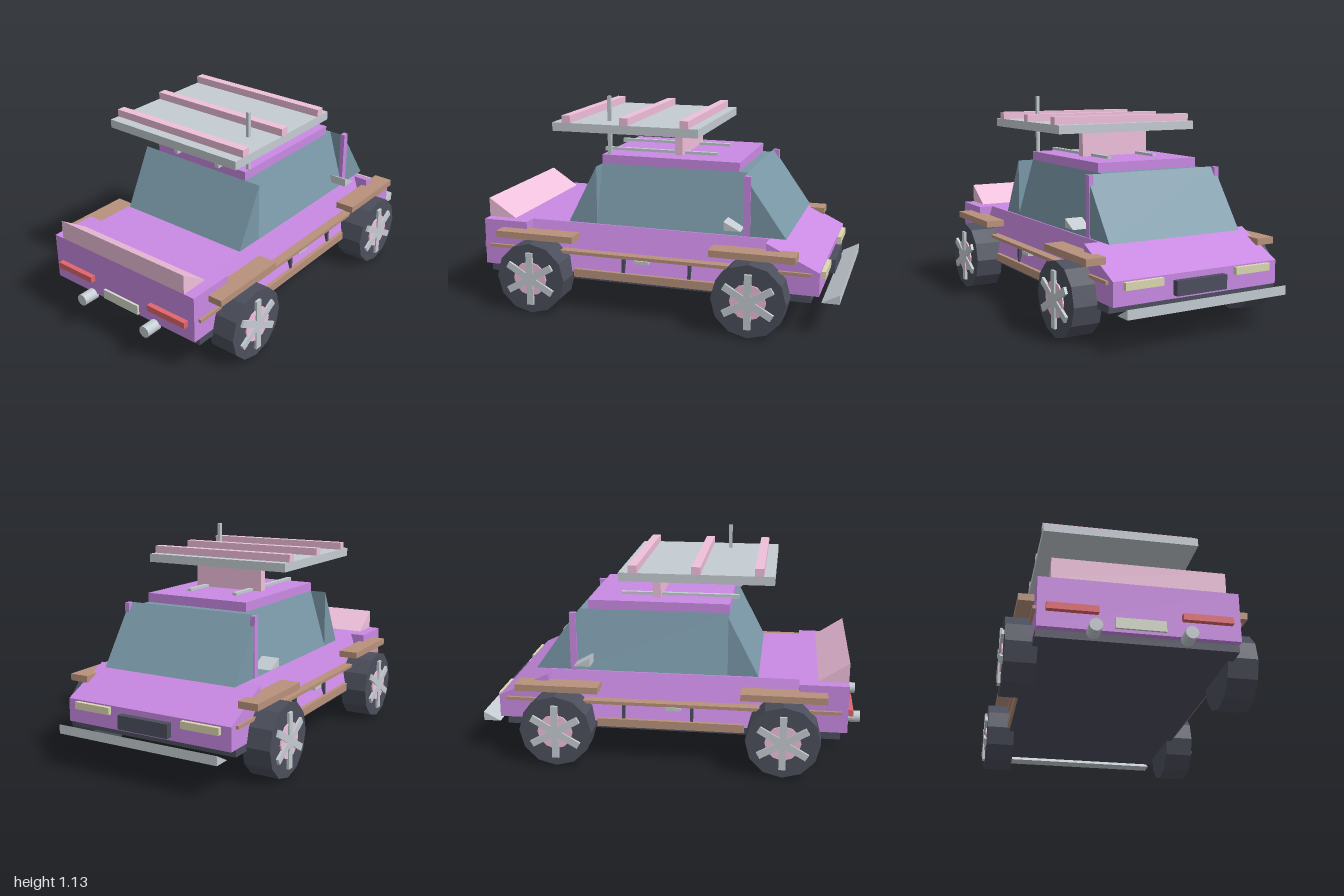
import * as THREE from 'three';

const mat = (color) => new THREE.MeshStandardMaterial({ color, flatShading: true });

export function createModel() {
  const car = new THREE.Group();
  car.name = 'car';

  const paint = mat(0xca8ae4), pink = mat(0xf0c0dc), glass = mat(0x7a98a8), brown = mat(0xb8927c);
  const dark = mat(0x4c4e5e), tire = mat(0x4c4f5c), metal = mat(0xc4ccd2);
  const red = mat(0xe0666c), cream = mat(0xdcd8b0), plateMat = mat(0xd6dacb);

  const add = (name, geo, material, parent = car) => {
    const mesh = new THREE.Mesh(geo, material);
    mesh.name = name;
    parent.add(mesh);
    return mesh;
  };
  // Box given by its min and max on each axis
  const box = (name, material, x0, x1, y0, y1, z0, z1) => {
    const geo = new THREE.BoxGeometry(x1 - x0, y1 - y0, z1 - z0);
    geo.translate((x0 + x1) / 2, (y0 + y1) / 2, (z0 + z1) / 2);
    return add(name, geo, material);
  };
  const extrude = (points, depth) => new THREE.ExtrudeGeometry(
    new THREE.Shape(points.map(([a, b]) => new THREE.Vector2(a, b))), { depth, bevelEnabled: false });
  // Side profile of (z, y) points spanning x0..x1
  const sideProfile = (name, material, points, x0, x1) =>
    add(name, extrude(points, x1 - x0).rotateY(-Math.PI / 2).translate(x1, 0, 0), material);
  // Cross-section of (x, y) points spanning z0..z1
  const crossSection = (name, material, points, z0, z1) =>
    add(name, extrude(points, z1 - z0).translate(0, 0, z0), material);
  // Trapezoid symmetric in x
  const trapezoid = (wBottom, wTop, y0, y1) => [[-wBottom, y0], [wBottom, y0], [wTop, y1], [-wTop, y1]];

  // Body shell: the nose faces -z
  const W = 0.475;
  box('chassis', dark, -W, W, 0.173, 0.21, -0.86, 0.885);
  box('rearBody', paint, -W, W, 0.21, 0.46, 0.67, 0.92);
  crossSection('middleBody', paint, trapezoid(W, 0.395, 0.21, 0.46), -0.63, 0.67);
  sideProfile('hood', paint, [[-0.63, 0.21], [-0.63, 0.46], [-0.9, 0.33], [-0.9, 0.21]], -W, W);
  sideProfile('rearSpoiler', pink, [[0.765, 0.46], [0.92, 0.46], [0.92, 0.563]], -0.415, 0.415);

  // Cabin
  crossSection('sideWindows', glass, trapezoid(0.387, 0.295, 0.46, 0.77), -0.495, 0.3);
  sideProfile('rearWindow', glass, [[0.3, 0.46], [0.46, 0.46], [0.3, 0.77]], -0.385, 0.385);
  sideProfile('windshield', glass, [[-0.495, 0.46], [-0.715, 0.46], [-0.495, 0.77]], -0.385, 0.385);
  box('roof', paint, -0.295, 0.295, 0.77, 0.818, -0.45, 0.3);

  // Roof wing, its ribs and its support
  box('wingSupport', pink, -0.2, 0.2, 0.818, 0.953, -0.118, -0.075);
  box('roofWing', metal, -0.415, 0.415, 0.953, 0.998, -0.262, 0.53);
  for (const z of [-0.188, 0.134, 0.452])
    box('wingRib', pink, -0.415, 0.415, 0.998, 1.037, z - 0.023, z + 0.023);
  box('antenna', metal, 0.275, 0.291, 0.77, 1.13, 0.249, 0.269);
  for (const x of [-0.139, 0.139])
    box('roofRail', metal, x - 0.012, x + 0.012, 0.81, 0.832, -0.295, 0.338);

  // Front and rear details
  sideProfile('frontSplitter', metal, [[-0.91, 0.174], [-1, 0.174], [-1, 0.222]], -0.458, 0.458);
  box('grille', dark, -0.145, 0.145, 0.228, 0.3, -0.935, -0.89);
  box('licensePlate', plateMat, -0.118, 0.118, 0.222, 0.275, 0.926, 0.938);

  for (const s of [-1, 1]) {
    // Box mirrored to the chosen side
    const sideBox = (name, material, x0, x1, ...rest) =>
      box(name, material, Math.min(s * x0, s * x1), Math.max(s * x0, s * x1), ...rest);

    sideBox('windshieldPillar', paint, 0.365, 0.39, 0.46, 0.77, -0.53, -0.495);
    sideBox('headlight', cream, 0.21, 0.42, 0.286, 0.323, -0.922, -0.89);
    sideBox('taillight', red, 0.195, 0.435, 0.287, 0.32, 0.91, 0.948);
    sideBox('sideTrim', brown, 0.43, 0.49, 0.31, 0.327, -0.86, 0.888);
    sideBox('sideSkirt', brown, 0.45, 0.49, 0.187, 0.23, -0.372, 0.395);
    sideBox('doorHandle', metal, 0.43, 0.48, 0.286, 0.303, -0.016, 0.064);
    for (const z of [-0.235, 0.123])
      sideBox('doorSeam', dark, 0.42, 0.475, 0.228, 0.312, z - 0.008, z + 0.008);
    sideProfile('wingMirror', metal, [[-0.41, 0.503], [-0.41, 0.548], [-0.497, 0.503]],
      s > 0 ? 0.365 : -0.462, s > 0 ? 0.462 : -0.365);

    const pipe = add('exhaustPipe', new THREE.CylinderGeometry(0.031, 0.031, 0.09, 16), metal);
    pipe.rotation.x = Math.PI / 2;
    pipe.position.set(s * 0.218, 0.2, 0.955);

    for (const [wheelZ, fenderZ] of [[-0.571, -0.573], [0.597, 0.595]]) {
      sideBox('fender', brown, 0.447, 0.552, 0.387, 0.422, fenderZ - 0.218, fenderZ + 0.218);

      // Twelve-sided wheel with hub disc and three crossing spoke bars
      const wheel = new THREE.Group();
      wheel.name = 'wheel';
      wheel.position.set(s * 0.525, 0.192, wheelZ);
      car.add(wheel);
      const disc = (name, radius, width, x, material) =>
        add(name, new THREE.CylinderGeometry(radius, radius, width, 12)
          .rotateZ(Math.PI / 2).translate(s * x, 0, 0), material, wheel);
      disc('tire', 0.19, 0.15, 0, tire);
      disc('hub', 0.092, 0.03, 0.067, pink);
      for (let i = 0; i < 3; i++) {
        const spoke = add('spokeBar', new THREE.BoxGeometry(0.03, 0.284, 0.036), metal, wheel);
        spoke.position.x = s * 0.074;
        spoke.rotation.x = i * Math.PI / 3;
      }
    }
  }
  return car;
}
